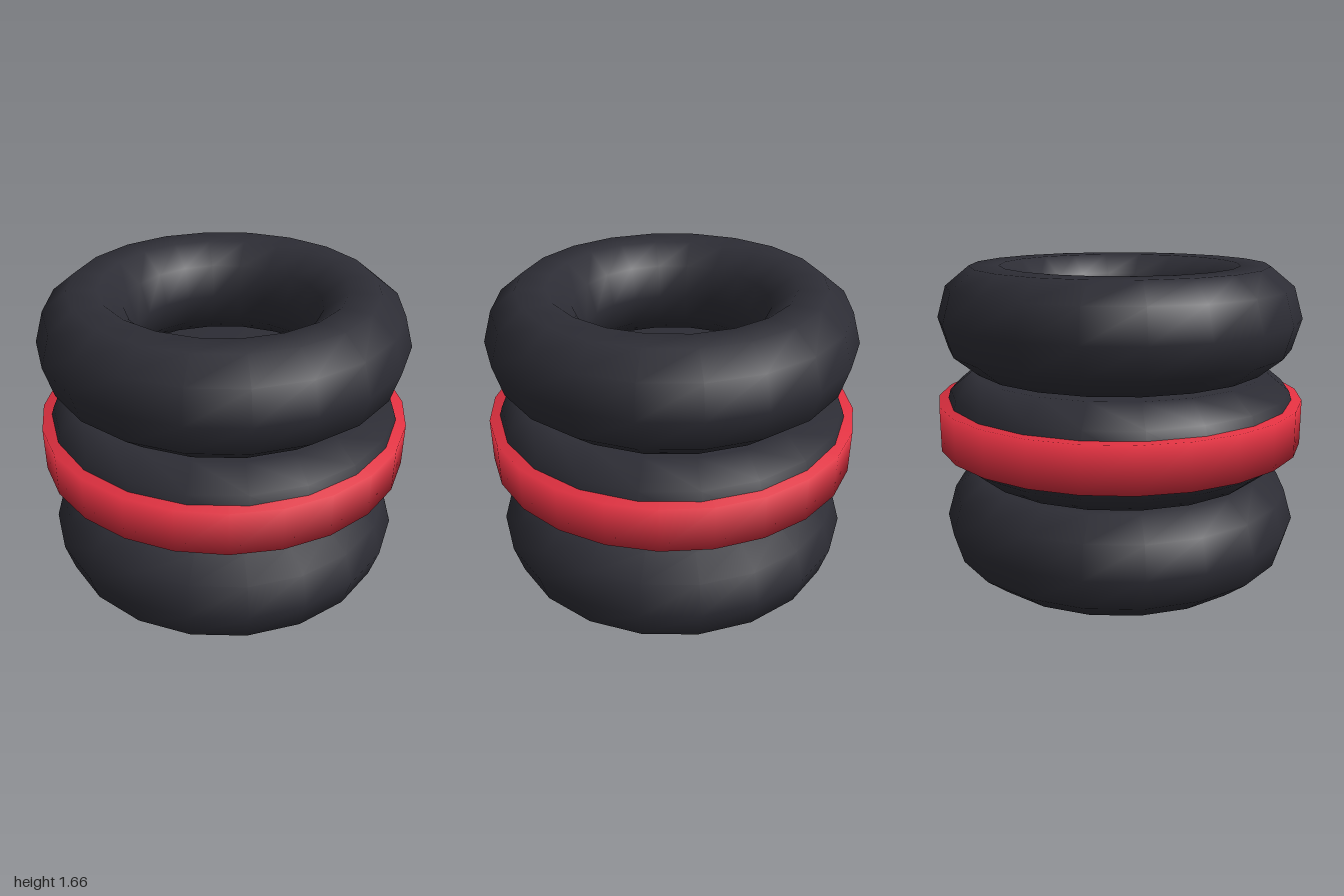
import * as THREE from 'three';
import { mergeVertices } from 'three/addons/utils/BufferGeometryUtils.js';

const RING = 0.725, TUBE = 0.255, HALF = 0.27, PITCH = 0.5625, SIDES = 20;
const STRETCH = HALF / (TUBE * Math.sin(Math.PI * 0.4));

export function createModel() {
  const rubber = new THREE.MeshStandardMaterial({ color: 0x2d2d35 });
  rubber.name = 'dark rubber';
  const red = new THREE.MeshStandardMaterial({ color: 0xe03040 });
  red.name = 'red paint';

  const group = new THREE.Group();
  group.name = 'tyreStack';
  const add = (name, geometry, material, y) => {
    const mesh = new THREE.Mesh(geometry, material);
    mesh.name = name;
    mesh.position.y = y;
    group.add(mesh);
  };

  // Open tyres at the bottom and top, slightly taller than round
  const tyre = new THREE.TorusGeometry(RING, TUBE, 10, SIDES);
  tyre.rotateX(Math.PI / 2);
  tyre.scale(1, STRETCH, 1);
  add('bottomTyre', tyre, rubber, HALF);
  add('topTyre', tyre, rubber, HALF + 2 * PITCH);

  // Closed middle tyre with the same outer profile
  const profile = [new THREE.Vector2(0, -HALF)];
  for (let i = -2; i <= 2; i++) {
    const a = i * Math.PI / 5;
    profile.push(new THREE.Vector2(RING + TUBE * Math.cos(a), TUBE * STRETCH * Math.sin(a)));
  }
  profile.push(new THREE.Vector2(0, HALF));
  add('middleTyre', new THREE.LatheGeometry(profile, SIDES), rubber, HALF + PITCH);

  // Red band around the middle tyre, softly shaded over its edges
  let band = new THREE.CylinderGeometry(1, 1, 0.242, 24);
  band.deleteAttribute('normal');
  band.deleteAttribute('uv');
  band = mergeVertices(band);
  band.computeVertexNormals();
  add('redBand', band, red, HALF + PITCH);

  return group;
}
